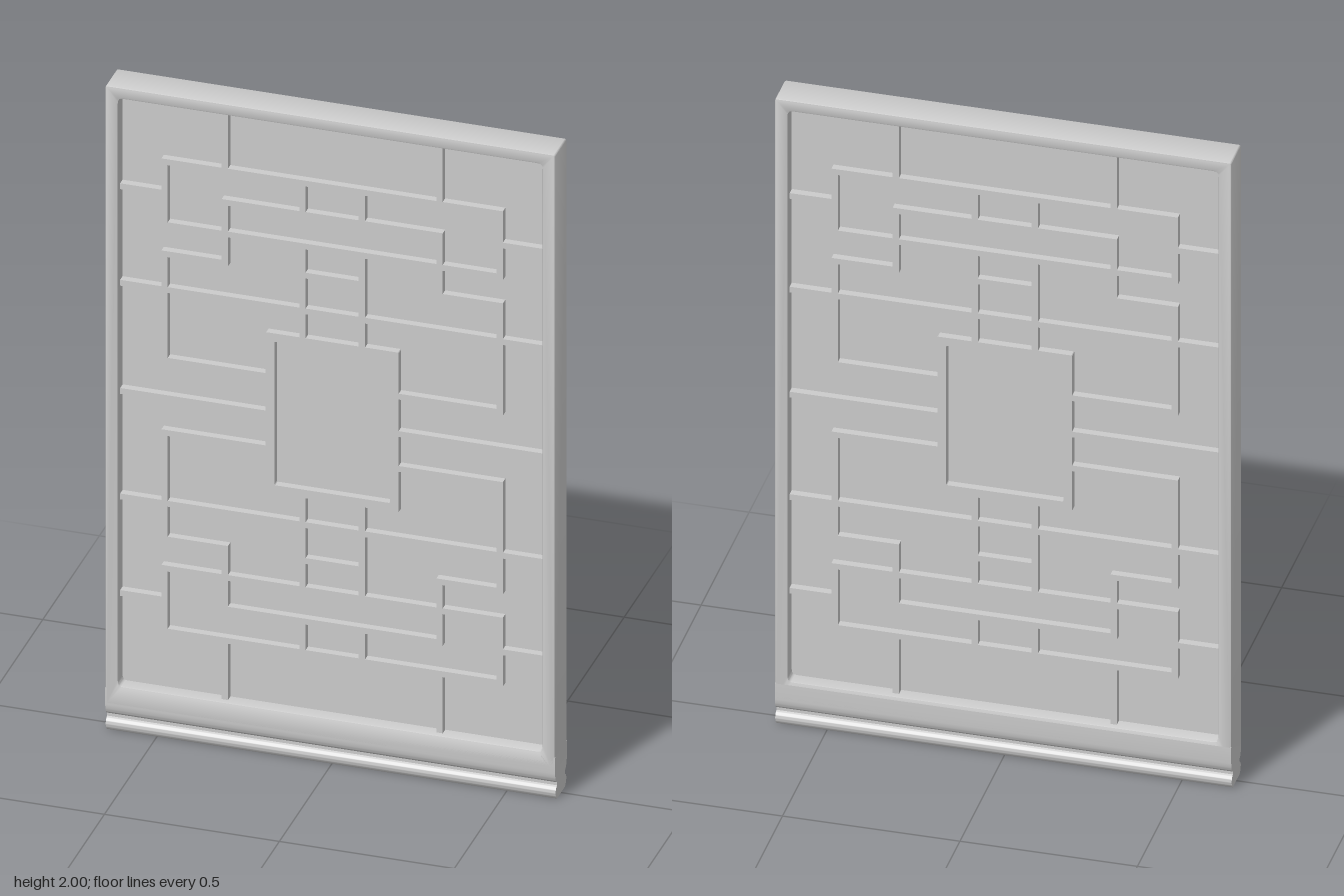
import * as THREE from 'three';
import { toCreasedNormals } from 'three/addons/utils/BufferGeometryUtils.js';

const HALF_W = 0.643, HALF_D = 0.052;   // outer panel size
const IN_X = 0.606, IN_TOP = 1.966, IN_BOT = 0.146; // frame opening
const MID = 1.056;                       // mirror height of the lattice
const BAR = 0.018, BAR_D = 0.034, PANEL_D = 0.012;

const material = new THREE.MeshStandardMaterial({ color: 0xcccccc });

function add(parent, name, geometry, x = 0, y = 0, z = 0) {
  const mesh = new THREE.Mesh(geometry, material);
  mesh.name = name;
  mesh.position.set(x, y, z);
  parent.add(mesh);
  return mesh;
}

function rect(path, x0, y0, x1, y1, r) {
  path.moveTo(x0 + r, y0);
  path.lineTo(x1 - r, y0);
  path.quadraticCurveTo(x1, y0, x1, y0 + r);
  path.lineTo(x1, y1 - r);
  path.quadraticCurveTo(x1, y1, x1 - r, y1);
  path.lineTo(x0 + r, y1);
  path.quadraticCurveTo(x0, y1, x0, y1 - r);
  path.lineTo(x0, y0 + r);
  path.quadraticCurveTo(x0, y0, x0 + r, y0);
  return path;
}

// Outer frame with a rounded opening and softly bevelled edges
function frameGeometry() {
  const b = 0.005;
  const shape = rect(new THREE.Shape(), -HALF_W + b, 0.09, HALF_W - b, 2 - b, 0.001);
  shape.holes.push(rect(new THREE.Path(), -IN_X - b, IN_BOT - b, IN_X + b, IN_TOP + b, 0.02));
  const geo = new THREE.ExtrudeGeometry(shape, {
    depth: 2 * (HALF_D - b), bevelThickness: b, bevelSize: b, bevelSegments: 2, curveSegments: 5,
  });
  geo.translate(0, 0, -HALF_D + b);
  return toCreasedNormals(geo, 0.6);
}

// Moulded bottom rail: rounded shoulder, neck and bead, swept across the width
function railGeometry() {
  const s = new THREE.Shape();
  s.moveTo(-0.036, 0);
  s.lineTo(0.036, 0);
  s.quadraticCurveTo(0.049, 0.012, 0.047, 0.026);
  s.quadraticCurveTo(0.044, 0.037, 0.034, 0.04);
  s.lineTo(0.034, 0.05);
  s.quadraticCurveTo(0.049, 0.054, HALF_D, 0.085);
  s.lineTo(HALF_D, 0.135);
  s.lineTo(-HALF_D, 0.135);
  s.lineTo(-HALF_D, 0.085);
  s.quadraticCurveTo(-0.049, 0.054, -0.034, 0.05);
  s.lineTo(-0.034, 0.04);
  s.quadraticCurveTo(-0.044, 0.037, -0.047, 0.026);
  s.quadraticCurveTo(-0.049, 0.012, -0.036, 0);
  const geo = new THREE.ExtrudeGeometry(s, { depth: 2 * HALF_W, bevelEnabled: false, curveSegments: 8 });
  geo.translate(0, 0, -HALF_W);
  geo.rotateY(-Math.PI / 2);
  return toCreasedNormals(geo, 0.6);
}

// Raised rim around the middle field
function centreFrameGeometry() {
  const shape = rect(new THREE.Shape(), -0.19, MID - 0.248, 0.19, MID + 0.248, 0.002);
  shape.holes.push(rect(new THREE.Path(), -0.165, MID - 0.222, 0.165, MID + 0.222, 0.002));
  const geo = new THREE.ExtrudeGeometry(shape, { depth: 2 * BAR_D, bevelEnabled: false, curveSegments: 1 });
  return geo.translate(0, 0, -BAR_D);
}

export function createModel() {
  const group = new THREE.Group();
  group.name = 'latticePanel';

  add(group, 'frame', frameGeometry());
  add(group, 'bottomRail', railGeometry());
  add(group, 'backingPanel',
    new THREE.BoxGeometry(2 * IN_X + 0.02, IN_TOP - IN_BOT + 0.02, 2 * PANEL_D), 0, MID);

  const lattice = new THREE.Group();
  lattice.name = 'lattice';
  group.add(lattice);
  add(lattice, 'centreFrame', centreFrameGeometry());

  // A bar between two points on one axis, extended so corners close
  const bar = (x0, y0, x1, y1) => add(lattice, 'latticeBar',
    new THREE.BoxGeometry(Math.abs(x1 - x0) + BAR, Math.abs(y1 - y0) + BAR, 2 * BAR_D),
    (x0 + x1) / 2, (y0 + y1) / 2);

  // Heights of the horizontal bars in the upper half
  const A = 1.783, B = 1.686, C = 1.588, D = 1.498, E = 1.387, F = 1.168;
  const X1 = 0.085, X2 = 0.307, X3 = 0.479;

  const spanning = [[X3, A], [X2, B], [X3, C], [X1, D], [IN_X, E]];
  const oneSide = [
    [X2, IN_TOP, X2, A], [X3, A, X3, C], [X3, B, IN_X, B],
    [X2, B, X2, D], [X2, D, X3, D], [X3, D, X3, F], [0.19, F, X3, F],
    [X1, A, X1, B], [X1, C, X1, 1.3],
  ];

  for (const v of [1, -1]) {
    const my = (y) => MID + v * (y - MID);
    for (const [x, y] of spanning) bar(-x, my(y), x, my(y));
    for (const s of [1, -1])
      for (const [x0, y0, x1, y1] of oneSide) bar(s * x0, my(y0), s * x1, my(y1));
  }
  for (const s of [1, -1]) bar(s * 0.19, MID - 0.004, s * IN_X, MID - 0.004);

  return group;
}
